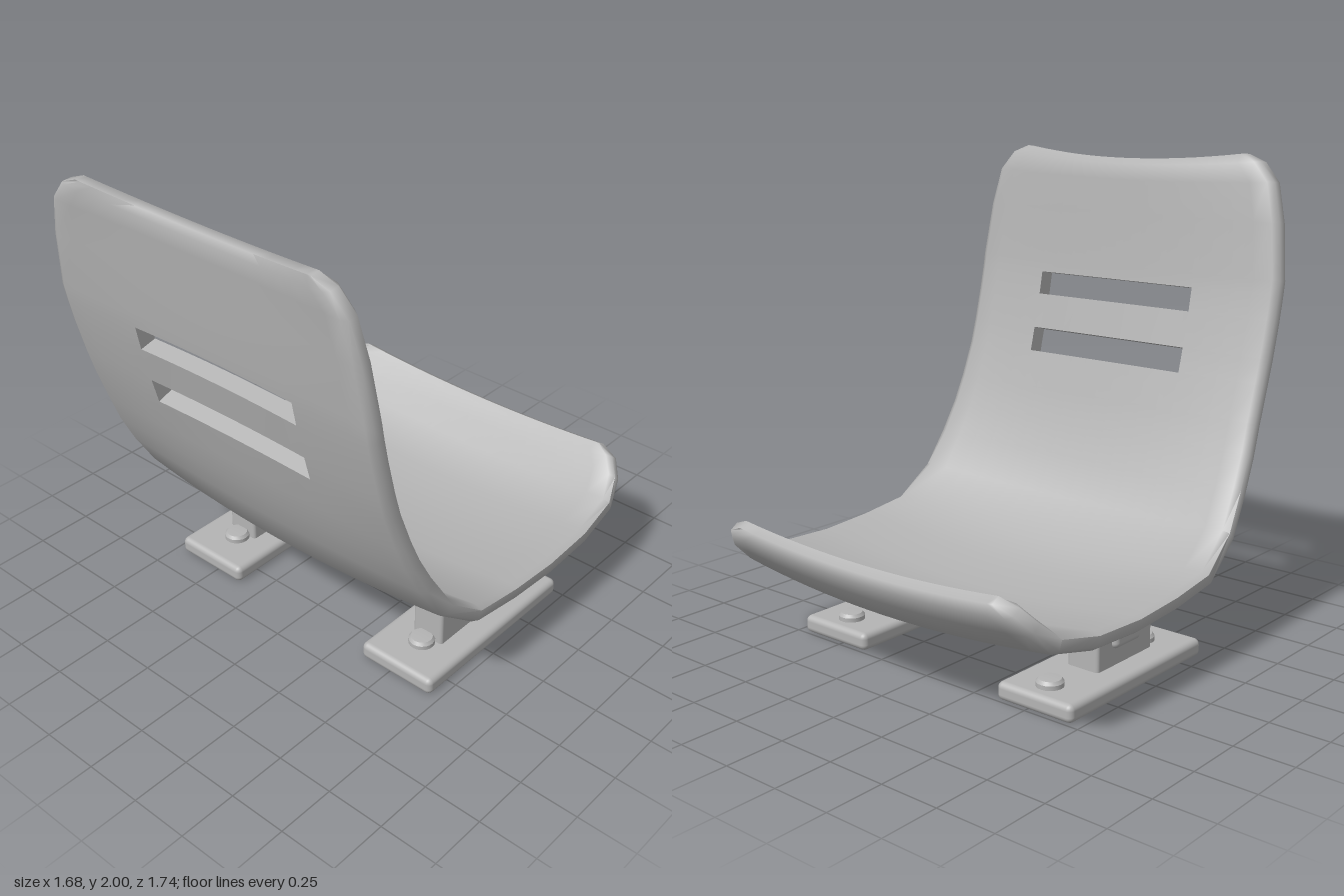
import * as THREE from 'three';
import { toCreasedNormals, mergeVertices } from 'three/addons/utils/BufferGeometryUtils.js';
import { RoundedBoxGeometry } from 'three/addons/geometries/RoundedBoxGeometry.js';

// Shell stations from the top of the back to the seat lip:
// z, y of the side edge, half width, sag of the centre line
const STATIONS = [
  [0.84, 2.0, 0.57, -0.04], [0.837, 1.97, 0.65, -0.04], [0.83, 1.89, 0.72, -0.04],
  [0.813, 1.73, 0.76, -0.038], [0.787, 1.5, 0.788, -0.035], [0.775, 1.435, 0.788, -0.033],
  [0.753, 1.335, 0.788, -0.03], [0.714, 1.185, 0.787, -0.026], [0.682, 1.08, 0.786, -0.02],
  [0.625, 0.93, 0.79, -0.006], [0.575, 0.81, 0.798, 0.006], [0.505, 0.68, 0.808, 0.02],
  [0.405, 0.525, 0.822, 0.045], [0.23, 0.395, 0.836, 0.06], [0, 0.365, 0.84, 0.068],
  [-0.24, 0.35, 0.84, 0.075], [-0.49, 0.36, 0.836, 0.07], [-0.695, 0.405, 0.822, 0.055],
  [-0.785, 0.485, 0.79, 0.03], [-0.832, 0.545, 0.74, 0.014], [-0.85, 0.575, 0.66, 0.008],
];
const HALF = [0.1, 0.2, 0.3, 0.41, 0.508, 0.62, 0.74, 0.86, 0.965, 1];
const COLUMNS = [...HALF.map((u) => -u).reverse(), 0, ...HALF];
const SLOT_ROWS = [5, 7];
const THICKNESS = 0.072;

function shellGeometry() {
  const rows = STATIONS.length, cols = COLUMNS.length;

  // side = 1 for the outer skin, -1 for the inner skin
  const point = (i, j, side) => {
    const [z, y, w, sag] = STATIONS[i];
    const a = STATIONS[Math.max(i - 1, 0)], b = STATIONS[Math.min(i + 1, rows - 1)];
    const len = Math.hypot(b[0] - a[0], b[1] - a[1]);
    const nz = -(b[1] - a[1]) / len, ny = (b[0] - a[0]) / len;
    const u = COLUMNS[j], bow = 1 - u * u;
    const rim = i === 0 || i === rows - 1 || j === 0 || j === cols - 1;
    const d = sag * bow + side * THICKNESS * (rim ? 0.28 : 0.5);
    // both end edges dip between their corners
    const dip = bow * (0.04 * Math.max(0, (y - 1.75) / 0.25) + 0.03 * Math.max(0, (-z - 0.7) / 0.15));
    return [u * w, y + ny * d - dip, z + nz * d];
  };

  const solid = (i, j) => {
    if (i < 0 || j < 0 || i >= rows - 1 || j >= cols - 1) return false;
    const mid = Math.abs(COLUMNS[j] + COLUMNS[j + 1]) / 2;
    return !(SLOT_ROWS.includes(i) && mid < 0.508);
  };

  const out = [];
  const quad = (a, b, c, d) => out.push(...a, ...b, ...c, ...a, ...c, ...d);
  for (let i = 0; i < rows - 1; i++) {
    for (let j = 0; j < cols - 1; j++) {
      if (!solid(i, j)) continue;
      const corners = [[i, j], [i, j + 1], [i + 1, j + 1], [i + 1, j]];
      const inner = corners.map(([r, c]) => point(r, c, -1));
      const outer = corners.map(([r, c]) => point(r, c, 1));
      quad(...inner);
      quad(outer[3], outer[2], outer[1], outer[0]);
      // walls round the rim and the slots
      [[i - 1, j], [i, j + 1], [i + 1, j], [i, j - 1]].forEach(([r, c], k) => {
        const n = (k + 1) % 4;
        if (!solid(r, c)) quad(inner[n], inner[k], outer[k], outer[n]);
      });
    }
  }
  const geometry = new THREE.BufferGeometry();
  geometry.setAttribute('position', new THREE.Float32BufferAttribute(out, 3));
  return toCreasedNormals(mergeVertices(geometry), 1.15);
}

export function createModel() {
  const model = new THREE.Group();
  model.name = 'shellSeat';
  const grey = new THREE.MeshStandardMaterial({ color: 0xb4b4b4 });
  grey.name = 'grey';

  const add = (name, geometry, x = 0, y = 0, z = 0, parent = model) => {
    const mesh = new THREE.Mesh(geometry, grey);
    mesh.name = name;
    mesh.position.set(x, y, z);
    parent.add(mesh);
    return mesh;
  };

  add('seatShell', shellGeometry());

  // Cross bar joining the two feet
  add('crossBar', new RoundedBoxGeometry(1.26, 0.088, 0.175, 3, 0.025), 0, 0.188, -0.012);

  // Low domed bolt head
  const boltProfile = [[0, 0], [0.055, 0], [0.055, 0.02], [0.045, 0.033], [0, 0.036]]
    .map(([r, y]) => new THREE.Vector2(r, y));
  const bolt = toCreasedNormals(new THREE.LatheGeometry(boltProfile, 20), 0.6);

  for (const side of [-1, 1]) {
    const foot = new THREE.Group();
    foot.name = side > 0 ? 'leftFoot' : 'rightFoot';
    foot.position.x = side * 0.535;
    model.add(foot);
    add('basePlate', new RoundedBoxGeometry(0.36, 0.075, 0.87, 3, 0.025), 0, 0.0375, -0.06, foot);
    add('bracket', new RoundedBoxGeometry(0.148, 0.2, 0.36, 2, 0.014), 0, 0.159, -0.01, foot);
    for (const z of [0.205, -0.39]) add('bolt', bolt, 0, 0.073, z, foot);
  }
  return model;
}
